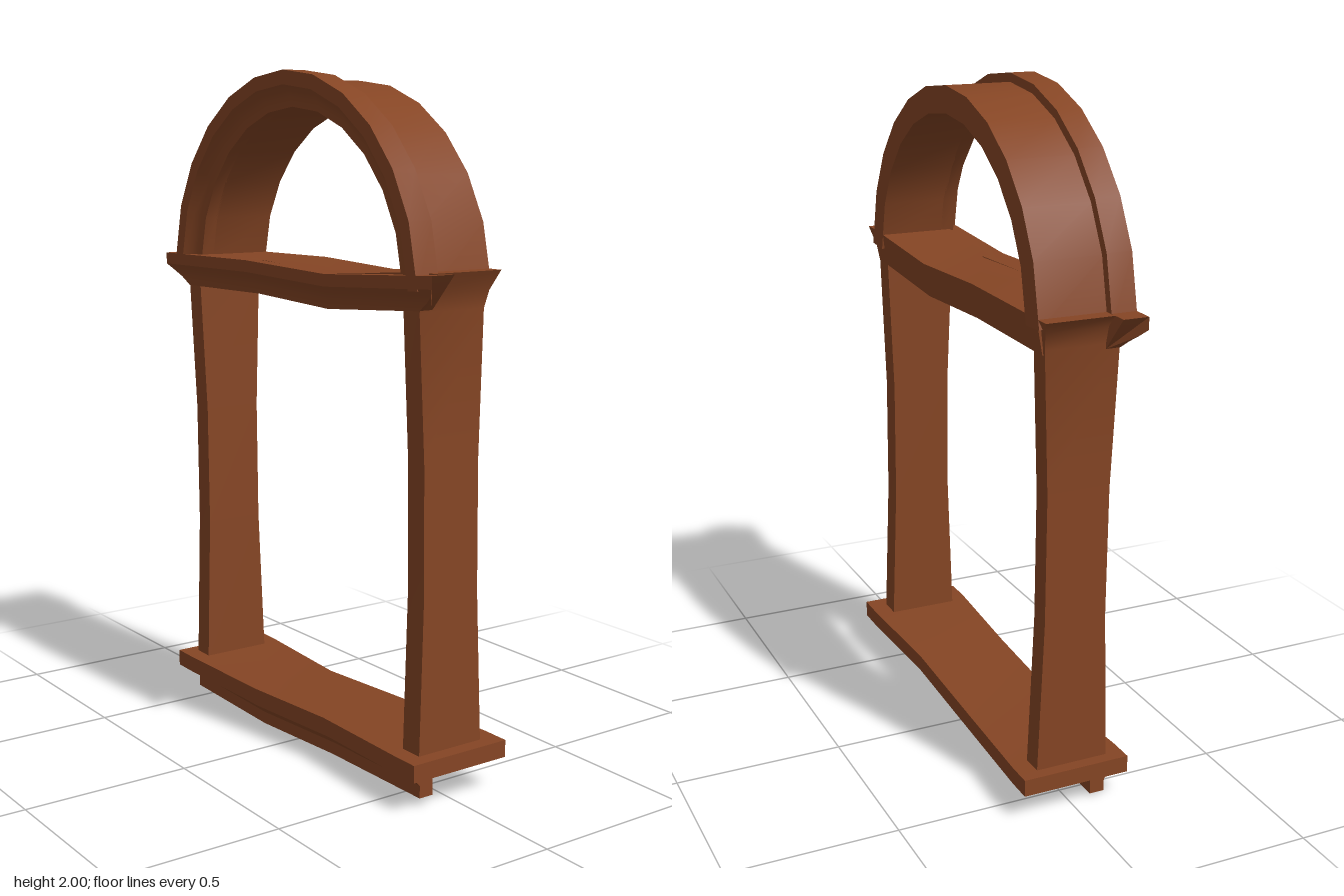
import * as THREE from 'three';
import { toCreasedNormals } from 'three/addons/utils/BufferGeometryUtils.js';

const wood = new THREE.MeshStandardMaterial({ color: 0x854524 });
wood.name = 'brown wood';

// Piecewise linear curve through [t, value] points
function curve(points, t) {
  if (t <= points[0][0]) return points[0][1];
  for (let i = 1; i < points.length; i++) {
    const [t0, v0] = points[i - 1], [t1, v1] = points[i];
    if (t <= t1) return v0 + (v1 - v0) * (t - t0) / (t1 - t0);
  }
  return points[points.length - 1][1];
}

// Closed solid through a counter-clockwise profile [u, v] placed at each station
function loft(name, profile, stations, place) {
  const n = profile.length, pos = [], index = [];
  stations.forEach((s, i) => {
    for (const [u, v] of profile) pos.push(...place(u, v, s));
    if (i === 0) return;
    for (let j = 0; j < n; j++) {
      const k = (j + 1) % n, a = (i - 1) * n;
      index.push(a + j, a + k, a + n + k, a + j, a + n + k, a + n + j);
    }
  });
  const last = (stations.length - 1) * n;
  const caps = THREE.ShapeUtils.triangulateShape(profile.map(([u, v]) => new THREE.Vector2(u, v)), []);
  for (const [a, b, c] of caps) index.push(c, b, a, last + a, last + b, last + c);
  const geo = new THREE.BufferGeometry();
  geo.setAttribute('position', new THREE.Float32BufferAttribute(pos, 3));
  geo.setIndex(index);
  const mesh = new THREE.Mesh(toCreasedNormals(geo, 0.5), wood);
  mesh.name = name;
  return mesh;
}

// Wavy heights of the lintel and sill
const lintelTop = x => curve([[-0.6, 1.445], [-0.18, 1.45], [0.18, 1.435], [0.57, 1.465]], x);
const sillTop = x => curve([[-0.57, 0.13], [-0.16, 0.12], [0.2, 0.14], [0.57, 0.147]], x);

export function createModel() {
  const model = new THREE.Group();
  model.name = 'archedWindowFrame';

  // Arch: deep ring and a coved trim on its front
  const angles = Array.from({ length: 13 }, (_, i) => THREE.MathUtils.degToRad(i === 0 ? 4 : i === 12 ? 176 : 7 + i * 166 / 12));
  const around = (z, r, a) => [r * Math.cos(a), 1.377 + r * Math.sin(a), z];
  model.add(loft('archRing', [[-0.128, 0.52], [0.075, 0.52], [0.075, 0.597], [-0.128, 0.597]], angles, around));
  model.add(loft('archTrim', [[0.07, 0.52], [0.112, 0.52], [0.116, 0.545], [0.127, 0.565],
    [0.145, 0.582], [0.145, 0.623], [0.07, 0.623]], angles, around));

  // Lintel beam, between the posts
  const spans = [-1, -0.3, 0.3, 1];
  model.add(loft('lintel', [[-0.1, -0.11], [0, -0.128], [0, 0.1], [-0.1, 0.1]], spans,
    (y, z, s) => [s * 0.58, lintelTop(s * 0.58) + y, z]));

  // Lintel crown, with mitred ends
  model.add(loft('lintelCrown', [[-0.1, 0.07], [0, 0.07], [0, 0.145], [-0.035, 0.145],
    [-0.055, 0.129], [-0.075, 0.118], [-0.1, 0.113]], spans, (y, z, s) => {
    const x = s * curve([[-0.1, 0.59], [-0.04, 0.68]], y);
    return [x, lintelTop(x) + y, z];
  }));

  // Posts: waisted in depth and flared at the top
  for (const side of [-1, 1]) {
    const top = lintelTop(side * 0.6);
    const low = side < 0 ? [-0.57, -0.505] : [0.535, 0.607];
    const high = side < 0 ? [-0.59, -0.525] : [0.522, 0.59];
    const levels = [0.11, 0.58, 0.95, 1.36, 1.41, top];
    model.add(loft(side < 0 ? 'rightPost' : 'leftPost', [[-1, 0], [1, 0], [1, 1], [-1, 1]], levels, (u, v, y) => {
      const t = Math.min((y - 0.11) / 1.25, 1);
      let x = low[v] + (high[v] - low[v]) * t;
      if ((side > 0) === (v === 1)) x += side * curve([[1.36, 0], [1.41, 0.014], [top, 0.045]], y);
      const back = curve([[0.11, 0.108], [0.58, 0.092], [0.95, 0.092], [1.36, 0.108], [1.41, 0.114], [top, 0.128]], y);
      const front = curve([[0.11, 0.112], [0.58, 0.095], [0.95, 0.095], [1.36, 0.112], [top, 0.1]], y);
      return [x, y, u < 0 ? -back : front];
    }));
  }

  // Sill: wavy and narrower in the middle
  const sillDepth = x => curve([[-0.53, 0.163], [-0.18, 0.145], [0.2, 0.145], [0.56, 0.163]], x);
  model.add(loft('sill', [[-0.05, -1], [0, -1], [0, 1], [-0.05, 1]], [-0.607, -0.53, -0.17, 0.2, 0.56, 0.65],
    (y, side, x) => [x, sillTop(x) + y, side * sillDepth(x)]));

  // Apron under the sill's front edge
  model.add(loft('apron', [[-0.12, 0.065], [-0.045, 0.065], [-0.045, 0.14], [-0.055, 0.14], [-0.083, 0.11], [-0.12, 0.11]],
    [-0.567, -0.17, 0.2, 0.61], (y, z, x) => [x, sillTop(x) + y, z]));

  return model;
}
